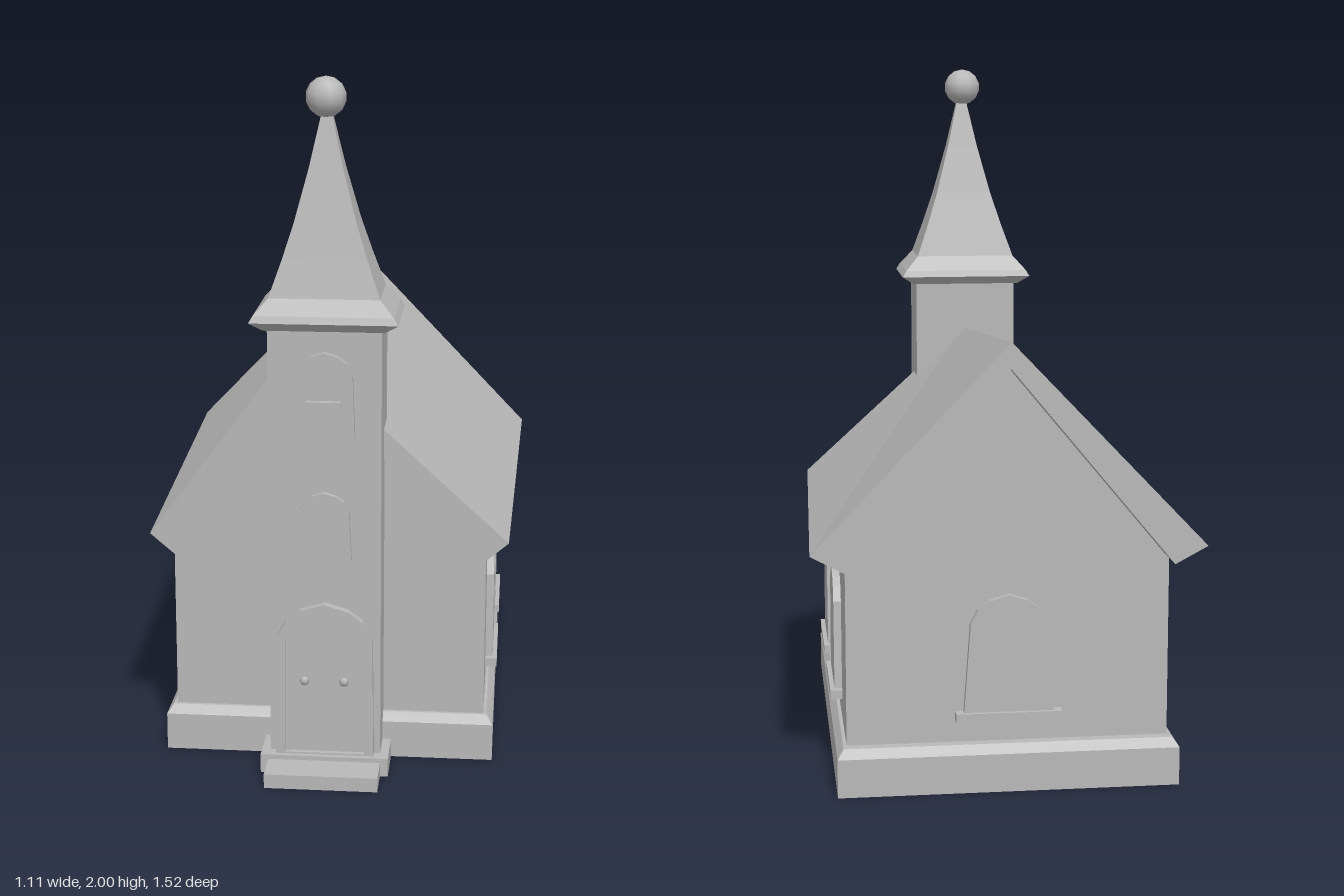
import * as THREE from 'three';

const stone = new THREE.MeshStandardMaterial({ color: 0xb8b8b8 });
stone.name = 'plain grey';

// Closed solid through rings of points; rings run counter-clockwise seen from the last ring's side.
function loft(rings) {
  const pos = [];
  const n = rings[0].length;
  const tri = (a, b, c) => pos.push(...a, ...b, ...c);
  for (let i = 0; i < rings.length - 1; i++) {
    for (let j = 0; j < n; j++) {
      const k = (j + 1) % n;
      const [a, b, c, d] = [rings[i][j], rings[i][k], rings[i + 1][k], rings[i + 1][j]];
      tri(a, b, c);
      tri(a, c, d);
    }
  }
  const first = rings[0], last = rings[rings.length - 1];
  for (let j = 1; j < n - 1; j++) {
    tri(first[0], first[j + 1], first[j]);
    tri(last[0], last[j], last[j + 1]);
  }
  const g = new THREE.BufferGeometry();
  g.setAttribute('position', new THREE.Float32BufferAttribute(pos, 3));
  g.computeVertexNormals();
  return g;
}

// Horizontal rectangle ring: height, half width, centre z, half depth
const rect = (y, hx, cz, hz) => [
  [-hx, y, cz + hz], [hx, y, cz + hz], [hx, y, cz - hz], [-hx, y, cz - hz],
];
const atZ = (points, z) => points.map(([x, y]) => [x, y, z]);

// Low-poly arch outline, widening slightly towards the bottom
function archPoints(bottom, top, halfBase, halfTop) {
  const rise = halfTop * 0.75;
  const side = [[halfBase, bottom], [halfTop, top - rise], [halfTop * 0.8, top - rise * 0.5], [halfTop * 0.5, top - rise * 0.2]];
  const left = side.map(([x, y]) => [-x, y]).reverse();
  return [...side, [0, top], ...left].map(([x, y]) => new THREE.Vector2(x, y));
}

function archGeometry(outer, depth, inner) {
  const shape = new THREE.Shape(outer);
  if (inner) shape.holes.push(new THREE.Path(inner));
  return new THREE.ExtrudeGeometry(shape, { depth, bevelEnabled: false });
}

export function createModel() {
  const model = new THREE.Group();
  model.name = 'chapel';
  const add = (name, geometry, x = 0, y = 0, z = 0, parent = model) => {
    const mesh = new THREE.Mesh(geometry, stone);
    mesh.name = name;
    mesh.position.set(x, y, z);
    parent.add(mesh);
    return mesh;
  };
  const box = (name, w, h, d, x, y, z, parent) =>
    add(name, new THREE.BoxGeometry(w, h, d), x, y, z, parent);

  // Nave
  add('foundation', loft([
    rect(0, 0.483, -0.115, 0.635), rect(0.11, 0.483, -0.115, 0.635), rect(0.135, 0.465, -0.115, 0.615),
  ]));
  const gable = (apex) => [[-0.455, 0.1], [0.455, 0.1], [0.455, 0.66], [0, apex], [-0.455, 0.66]];
  add('naveWalls', loft([atZ(gable(1.22), -0.7), atZ(gable(1.11), 0.49)]));

  // Roof slabs, rising and widening towards the back
  const backSlab = [[0.46, 0.645], [0.553, 0.695], [0, 1.275], [0, 1.2]];
  const frontSlab = [[0.45, 0.615], [0.52, 0.675], [0, 1.15], [0, 1.09]];
  const mirror = (pts) => pts.map(([x, y]) => [-x, y]).reverse();
  add('roofLeft', loft([atZ(backSlab, -0.76), atZ(frontSlab, 0.525)]));
  add('roofRight', loft([atZ(mirror(backSlab), -0.76), atZ(mirror(frontSlab), 0.525)]));

  // Nave windows: two on each side, one at the back
  const windowGeometry = archGeometry(archPoints(0.215, 0.56, 0.127, 0.108), 0.025);
  const naveWindow = (x, z, turn) => {
    const group = new THREE.Group();
    group.name = 'naveWindow';
    group.position.set(x, 0, z);
    group.rotation.y = turn;
    add('windowPane', windowGeometry, 0, 0, -0.003, group);
    box('windowSill', 0.3, 0.025, 0.04, 0, 0.212, 0.015, group);
    model.add(group);
  };
  for (const side of [-1, 1]) {
    for (const z of [0.135, -0.328]) naveWindow(side * 0.455, z, side * Math.PI / 2);
  }
  naveWindow(0, -0.7, Math.PI);

  // Tower
  box('tower', 0.32, 1.32, 0.215, 0, 0.66, 0.5125);
  box('towerPlinth', 0.37, 0.055, 0.16, 0, 0.0275, 0.58);
  box('frontStep', 0.325, 0.042, 0.115, 0, 0.021, 0.7075);

  // Flared spire
  add('spire', loft([
    rect(1.31, 0.17, 0.515, 0.12),
    rect(1.335, 0.207, 0.515, 0.145),
    rect(1.355, 0.195, 0.515, 0.138),
    rect(1.4, 0.155, 0.515, 0.113),
    rect(1.5, 0.12, 0.517, 0.09),
    rect(1.6, 0.088, 0.52, 0.069),
    rect(1.75, 0.048, 0.523, 0.04),
    rect(1.91, 0.012, 0.525, 0.012),
  ]));
  add('spireBall', new THREE.SphereGeometry(0.057, 10, 7), -0.003, 1.943, 0.525);

  // Tower windows
  add('upperTowerWindow', archGeometry(archPoints(1.005, 1.25, 0.086, 0.08), 0.02), 0, 0, 0.618);
  box('upperWindowBar', 0.1, 0.014, 0.025, 0, 1.107, 0.645);
  add('lowerTowerWindow', archGeometry(archPoints(0.645, 0.845, 0.077, 0.07), 0.02), 0, 0, 0.618);

  // Front door
  const opening = archPoints(0.06, 0.49, 0.115, 0.113);
  add('doorFrame', archGeometry(archPoints(0.05, 0.515, 0.142, 0.138), 0.03, opening), 0, 0, 0.615);
  add('door', archGeometry(opening, 0.018), 0, 0, 0.612);
  for (const x of [-0.057, 0.057]) {
    add('doorKnob', new THREE.SphereGeometry(0.014, 6, 4), x, 0.285, 0.65);
    box('knobStem', 0.01, 0.01, 0.025, x, 0.285, 0.638);
  }

  return model;
}
